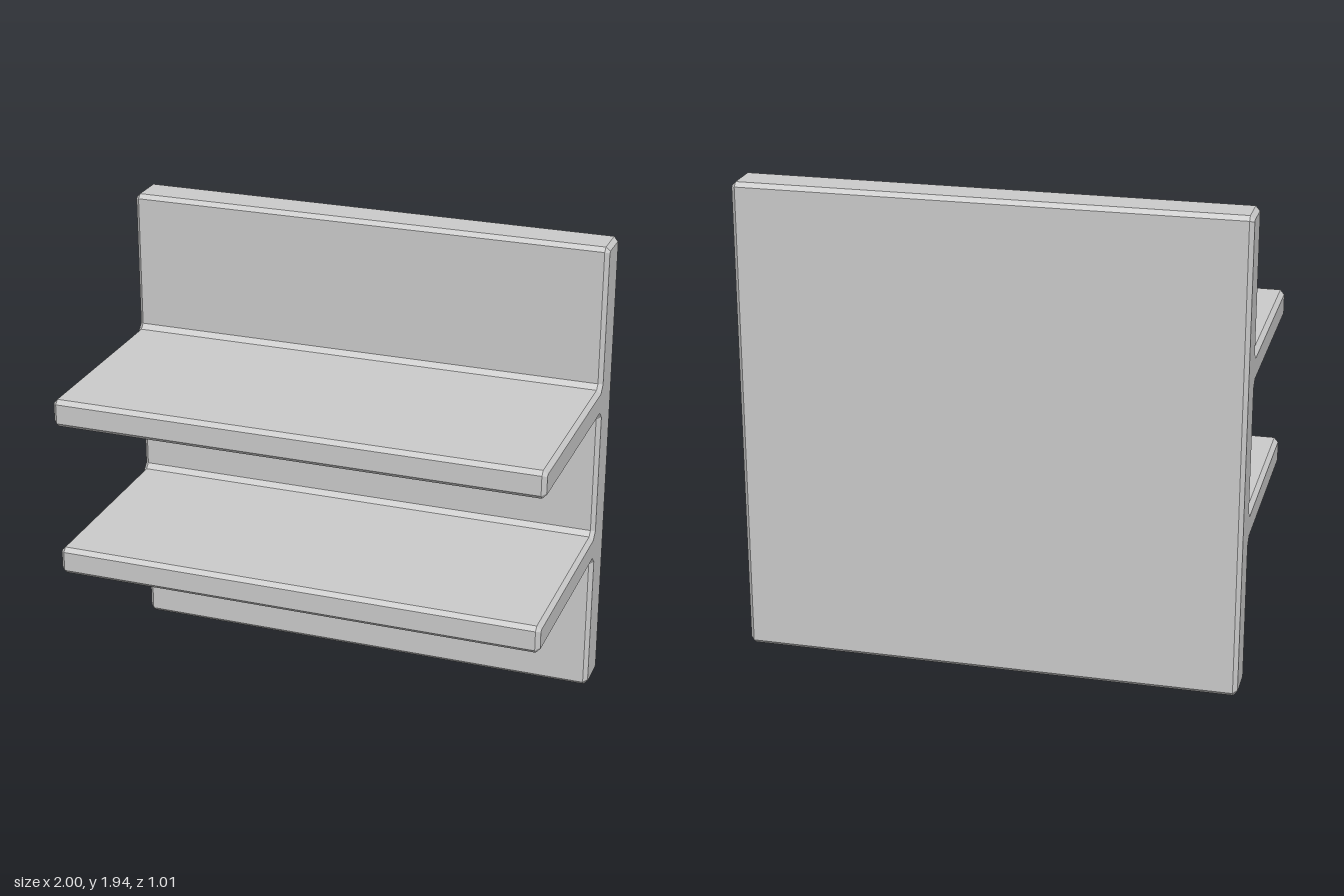
import * as THREE from 'three';

const BEVEL = 0.017;   // chamfer on outer edges
const FILLET = 0.02;   // sloped web where a shelf meets the panel
const DEPTH = 0.505, FACE = 0.335, HEIGHT = 1.94;

// Side profile, counter-clockwise; profile x is the model's -z.
function sideProfile(shelves) {
  const b = BEVEL, f = FILLET;
  const p = [
    [FACE + b, 0], [DEPTH - b, 0], [DEPTH, b],
    [DEPTH, HEIGHT - b], [DEPTH - b, HEIGHT], [FACE + b, HEIGHT], [FACE, HEIGHT - b],
  ];
  // walk down the front face, going out and back around each shelf
  for (const [bottom, top] of shelves) {
    p.push(
      [FACE, top + f], [FACE - f, top],
      [-DEPTH + b, top], [-DEPTH, top - b], [-DEPTH, bottom + b], [-DEPTH + b, bottom],
      [FACE - f, bottom], [FACE, bottom - f],
    );
  }
  p.push([FACE, b]);
  return new THREE.Shape(p.map(([x, y]) => new THREE.Vector2(x, y)));
}

export function createModel() {
  const group = new THREE.Group();
  group.name = 'wallShelf';

  // Back panel and both shelves are one solid with chamfered ends.
  const length = 2 - 2 * BEVEL;
  const geometry = new THREE.ExtrudeGeometry(sideProfile([[1.24, 1.355], [0.593, 0.708]]), {
    depth: length,
    bevelEnabled: true,
    bevelSegments: 1,
    bevelSize: BEVEL,
    bevelThickness: BEVEL,
    bevelOffset: -BEVEL,
  });
  geometry.translate(0, 0, -length / 2);
  geometry.rotateY(Math.PI / 2);

  const body = new THREE.Mesh(
    geometry,
    new THREE.MeshStandardMaterial({ color: 0xcccccc, flatShading: true }),
  );
  body.name = 'backPanelWithShelves';
  group.add(body);
  return group;
}
